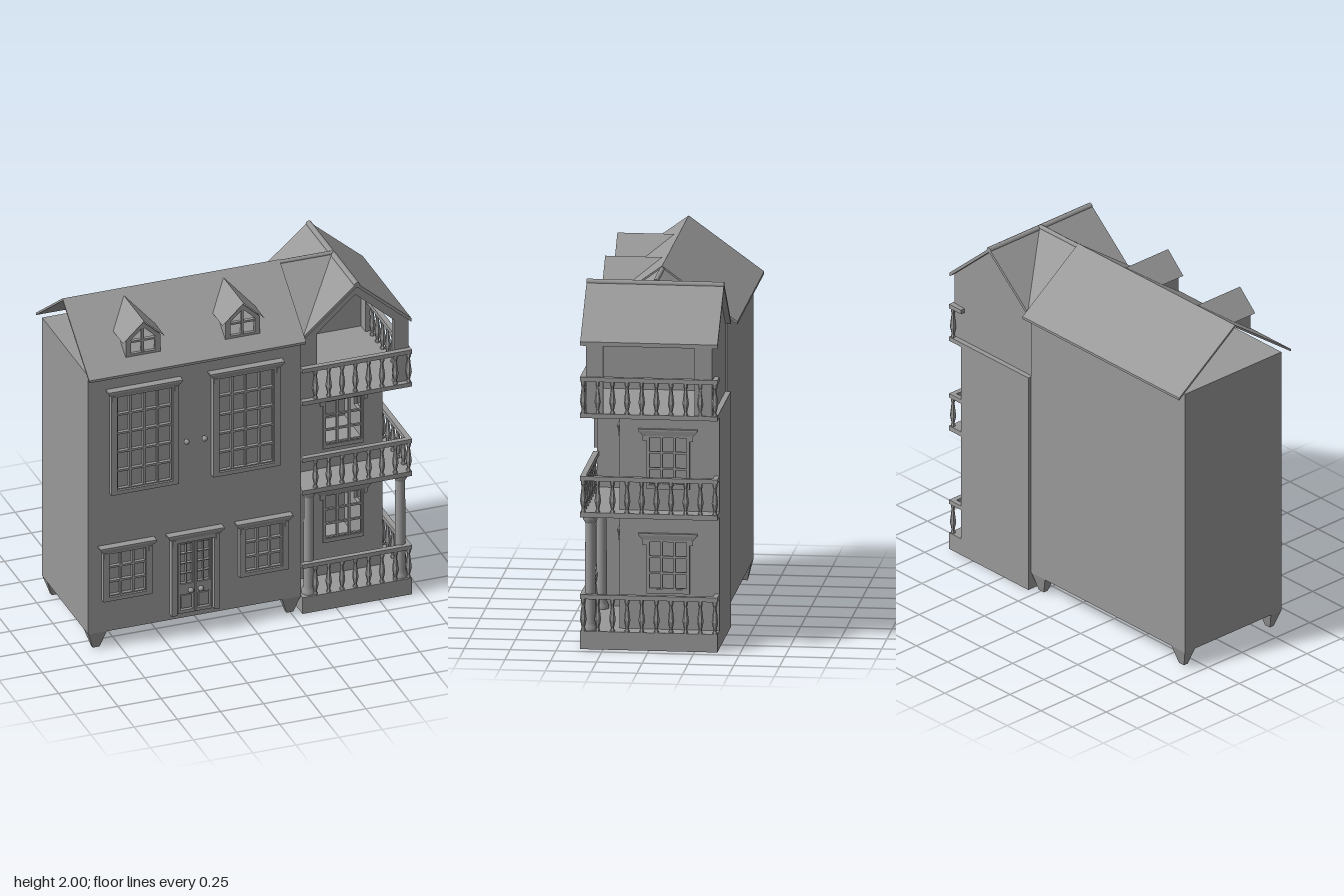
import * as THREE from 'three';

const GREY = 0x999999;
const mat = new THREE.MeshStandardMaterial({ color: GREY });
const thinMat = new THREE.MeshStandardMaterial({ color: GREY, side: THREE.DoubleSide, flatShading: true });
const turnedMat = new THREE.MeshStandardMaterial({ color: GREY, flatShading: true });
const HOUSE_Z = 0.355; // half depth of the main house
const WING_Z = 0.375; // half depth of the side wing

function add(parent, name, geometry, material = mat) {
  const m = new THREE.Mesh(geometry, material);
  m.name = name;
  parent.add(m);
  return m;
}

// Box given by its limits on each axis
function box(parent, name, x0, x1, y0, y1, z0, z1) {
  const g = new THREE.BoxGeometry(x1 - x0, y1 - y0, z1 - z0);
  return add(parent, name, g.translate((x0 + x1) / 2, (y0 + y1) / 2, (z0 + z1) / 2));
}

const rect = (x0, x1, y0, y1) => [[x0, y0], [x1, y0], [x1, y1], [x0, y1]];
const vecs = (pts) => pts.map(([x, y]) => new THREE.Vector2(x, y));

// Flat plate with cut-outs, from z to z + depth
function plate(parent, name, outline, holes, z, depth) {
  const s = new THREE.Shape(vecs(outline));
  for (const h of holes) s.holes.push(new THREE.Path(vecs(h)));
  const g = new THREE.ExtrudeGeometry(s, { depth, bevelEnabled: false });
  return add(parent, name, g.translate(0, 0, z));
}

// Thin polygon through 3D points
function panel(parent, name, pts) {
  const g = new THREE.BufferGeometry().setFromPoints(pts.map((p) => new THREE.Vector3(...p)));
  const idx = [];
  for (let i = 1; i < pts.length - 1; i++) idx.push(0, i, i + 1);
  g.setIndex(idx);
  g.computeVertexNormals();
  return add(parent, name, g, thinMat);
}

// Gabled roof slab running along z
function gableRoof(parent, name, half, eave, top, t, z, length) {
  return plate(parent, name, [[-half, eave - t], [0, top - t], [half, eave - t], [half, eave], [0, top], [-half, eave]], [], z, length);
}

// Moulding that flares outwards towards its top, flat against the wall
function cornice(parent, w, y, depth) {
  const g = new THREE.BoxGeometry(w, 0.028, depth).translate(0, 0, depth / 2);
  const p = g.attributes.position;
  for (let i = 0; i < p.count; i++) {
    if (p.getY(i) < 0) p.setXYZ(i, p.getX(i) * (1 - 0.045 / w), p.getY(i), p.getZ(i) * 0.75);
  }
  g.computeVertexNormals();
  add(parent, 'cornice', g.translate(0, y + 0.014, 0));
  box(parent, 'corniceCap', -w / 2, w / 2, y + 0.028, y + 0.038, 0, depth + 0.002);
}

// Glazing bars filling a rectangle
function bars(parent, x0, x1, y0, y1, cols, rows, t, z0, z1) {
  for (let i = 0; i <= cols; i++) {
    const x = x0 + ((x1 - x0) * i) / cols;
    box(parent, 'glazingBar', x - t, x + t, y0, y1, z0, z1);
  }
  for (let j = 0; j <= rows; j++) {
    const y = y0 + ((y1 - y0) * j) / rows;
    box(parent, 'glazingBar', x0, x1, y - t, y + t, z0, z1);
  }
}

// Framed window with its outer bottom centre at the origin, facing +z
function windowUnit(parent, name, pane, h, cols, rows, border, depth) {
  const g = new THREE.Group();
  g.name = name;
  const p = pane / 2, a = p + border, y0 = 0.024, y1 = h - 0.008;
  plate(g, 'frame', rect(-a, a, 0, h), [rect(-p, p, y0, y1)], 0, depth);
  bars(g, -p, p, y0, y1, cols, rows, 0.006, -0.006, depth * 0.6);
  cornice(g, pane + 0.11, h - 0.003, depth + 0.01);
  for (const s of [-1, 1]) box(g, 'bracket', s * (p + 0.021) - 0.01, s * (p + 0.021) + 0.01, h - 0.03, h, 0, depth + 0.006);
  parent.add(g);
  return g;
}

function knob(parent, x, y, z) {
  add(parent, 'knob', new THREE.SphereGeometry(0.016, 14, 10)).position.set(x, y, z);
}

// Double front door with glazed upper halves
function door(parent) {
  const g = new THREE.Group();
  g.name = 'frontDoor';
  plate(g, 'doorFrame', [[-0.14, 0], [-0.108, 0], [-0.108, 0.445], [0.108, 0.445], [0.108, 0], [0.14, 0], [0.14, 0.468], [-0.14, 0.468]], [], 0, 0.033);
  for (const s of [-1, 1]) {
    const c = s * 0.05, a = 0.047;
    plate(g, 'doorLeaf', rect(c - a, c + a, 0.005, 0.437), [rect(c - 0.037, c + 0.037, 0.185, 0.43), rect(c - 0.035, c + 0.035, 0.025, 0.12)], 0, 0.025);
    bars(g, c - 0.037, c + 0.037, 0.185, 0.43, 2, 4, 0.003, 0, 0.018);
    box(g, 'doorPanel', c - 0.028, c + 0.028, 0.033, 0.112, 0, 0.02);
    box(g, 'bracket', s * 0.126 - 0.01, s * 0.126 + 0.01, 0.435, 0.468, 0, 0.039);
    knob(g, s * 0.029, 0.145, 0.035);
  }
  cornice(g, 0.325, 0.463, 0.043);
  g.position.set(-0.318, 0.135, HOUSE_Z);
  parent.add(g);
}

// Dormer sitting on the front slope
function dormer(parent, x) {
  const g = new THREE.Group();
  g.name = 'dormer';
  plate(g, 'dormerFront', [[-0.1, 1.76], [0.1, 1.76], [0.1, 1.866], [0, 1.96], [-0.1, 1.866]],
    [[[-0.07, 1.775], [0.07, 1.775], [0.07, 1.862], [0, 1.928], [-0.07, 1.862]]], 0.318, 0.017);
  box(g, 'glazingBar', -0.007, 0.007, 1.775, 1.932, 0.31, 0.332);
  box(g, 'glazingBar', -0.07, 0.07, 1.84, 1.852, 0.31, 0.331);
  for (const s of [-1, 1]) {
    panel(g, 'dormerCheek', [[s * 0.1, 1.76, 0.32], [s * 0.1, 1.872, 0.32], [s * 0.1, 1.872, 0.165]]);
    panel(g, 'dormerRoof', [[0, 1.972, 0.35], [0, 1.972, 0.037], [s * 0.122, 1.856, 0.19], [s * 0.122, 1.856, 0.35]]);
  }
  g.position.x = x;
  parent.add(g);
}

const balusterProfile = vecs([[0.013, 0], [0.013, 0.04], [0.008, 0.1], [0.018, 0.36], [0.008, 0.82], [0.013, 0.9], [0.013, 1]]);

// Balustrade around the front and outer side of one balcony
function balustrade(parent, floorY, railY) {
  const g = new THREE.Group();
  g.name = 'balustrade';
  const h = railY - 0.025 - floorY;
  const geo = new THREE.LatheGeometry(balusterProfile, 6).scale(1, h, 1);
  const put = (x, z) => add(g, 'baluster', geo, turnedMat).position.set(x, floorY, z);
  for (let i = 0; i < 7; i++) put(0.385 + i * 0.0772, 0.36);
  for (let i = 0; i < 10; i++) put(0.925, 0.36 - i * 0.08);
  box(g, 'frontRail', 0.305, 0.94, railY - 0.025, railY, 0.345, 0.376);
  box(g, 'sideRail', 0.91, 0.94, railY - 0.025, railY, -0.376, 0.345);
  box(g, 'backRail', 0.845, 0.91, railY - 0.025, railY, -0.376, -0.348);
  parent.add(g);
}

function mainHouse(root) {
  const g = new THREE.Group();
  g.name = 'mainHouse';
  box(g, 'body', -0.93, 0.305, 0.1, 1.697, -HOUSE_Z, HOUSE_Z);
  const roof = gableRoof(g, 'mainRoof', 0.412, 1.7, 2, 0.014, -0.945, 1.257);
  roof.rotation.y = Math.PI / 2;
  for (const x of [-0.604, -0.027]) dormer(g, x);
  for (const x of [-0.612, -0.022]) windowUnit(g, 'tallWindow', 0.32, 0.61, 4, 5, 0.035, 0.033).position.set(x, 0.95, HOUSE_Z);
  for (const x of [-0.711, 0.08]) windowUnit(g, 'lowWindow', 0.215, 0.3, 3, 3, 0.035, 0.033).position.set(x, 0.3, HOUSE_Z);
  door(g);
  for (const x of [-0.37, -0.266]) knob(g, x, 1.2, 0.385);
  // Tapered corner feet
  const foot = new THREE.CylinderGeometry(0.076, 0.028, 0.1, 4, 1).rotateY(Math.PI / 4).scale(1, 1, 0.7);
  for (const x of [-0.875, 0.248]) for (const z of [-0.317, 0.317]) add(g, 'foot', foot, turnedMat).position.set(x, 0.05, z);
  root.add(g);
}

function wing(root) {
  const g = new THREE.Group();
  g.name = 'sideWing';
  box(g, 'base', 0.305, 0.94, 0, 0.1, -WING_Z, WING_Z);
  box(g, 'middleFloor', 0.305, 0.94, 0.732, 0.76, -WING_Z, WING_Z);
  box(g, 'upperFloor', 0.305, 0.94, 1.285, 1.31, -WING_Z, WING_Z);
  box(g, 'backWall', 0.305, 0.845, 0.1, 1.285, -WING_Z, -0.35);
  // Room walls with window openings on two storeys
  const sills = [0.3, 0.88];
  const cut = (c) => sills.map((y) => rect(c - 0.107, c + 0.107, y + 0.024, y + 0.292));
  plate(g, 'frontWall', rect(0.305, 0.845, 0.1, 1.285), cut(0.617), 0.145, 0.025);
  plate(g, 'sideWall', rect(-0.145, 0.35, 0.1, 1.285), cut(0.095), 0.82, 0.025).rotation.y = Math.PI / 2;
  for (const y of sills) {
    windowUnit(g, 'wingFrontWindow', 0.212, 0.3, 3, 3, 0.012, 0.01).position.set(0.617, y, 0.17);
    const side = windowUnit(g, 'wingSideWindow', 0.212, 0.3, 3, 3, 0.012, 0.01);
    side.position.set(0.845, y, -0.095);
    side.rotation.y = Math.PI / 2;
  }
  // Columns under the middle balcony
  const column = new THREE.LatheGeometry(vecs([[0.04, 0.1], [0.04, 0.12], [0.03, 0.14], [0.027, 0.69], [0.031, 0.7], [0.04, 0.715], [0.04, 0.732]]), 18);
  for (const x of [0.36, 0.89]) add(g, 'column', column).position.set(x, 0, 0.325);
  balustrade(g, 0.1, 0.303);
  balustrade(g, 0.76, 0.96);
  balustrade(g, 1.31, 1.512);
  // Open loggia under the roof
  const gable = [[0.305, 1.31], [0.93, 1.31], [0.93, 1.695], [0.62, 1.965], [0.305, 1.69]];
  plate(g, 'frontGable', [[0.305, 1.31], [0.4, 1.31], [0.4, 1.7], [0.622, 1.9], [0.845, 1.7], [0.845, 1.31], ...gable.slice(1)], [], 0.32, 0.025);
  plate(g, 'backGable', gable, [], -0.345, 0.025);
  for (const s of [-1, 1]) {
    const z0 = s > 0 ? 0.25 : -0.32;
    box(g, 'cornerPost', 0.905, 0.93, 1.31, 1.695, z0, z0 + 0.07);
    // Slope joining the wing roof to the main roof
    panel(g, 'joiningRoof', [[0.305, 1.99, 0], [0.305, 1.712, s * 0.38], [0.62, 1.988, 0]]);
  }
  gableRoof(g, 'wingRoof', 0.316, 1.708, 1.983, 0.022, -WING_Z, 0.75).position.x = 0.62;
  add(g, 'wingRidge', new THREE.CylinderGeometry(0.017, 0.017, 0.75, 8).rotateX(Math.PI / 2)).position.set(0.622, 1.972, 0);
  add(g, 'joiningRidge', new THREE.CylinderGeometry(0.014, 0.014, 0.31, 8).rotateZ(Math.PI / 2)).position.set(0.465, 1.981, 0);
  root.add(g);
}

export function createModel() {
  const root = new THREE.Group();
  root.name = 'house';
  mainHouse(root);
  wing(root);
  return root;
}
